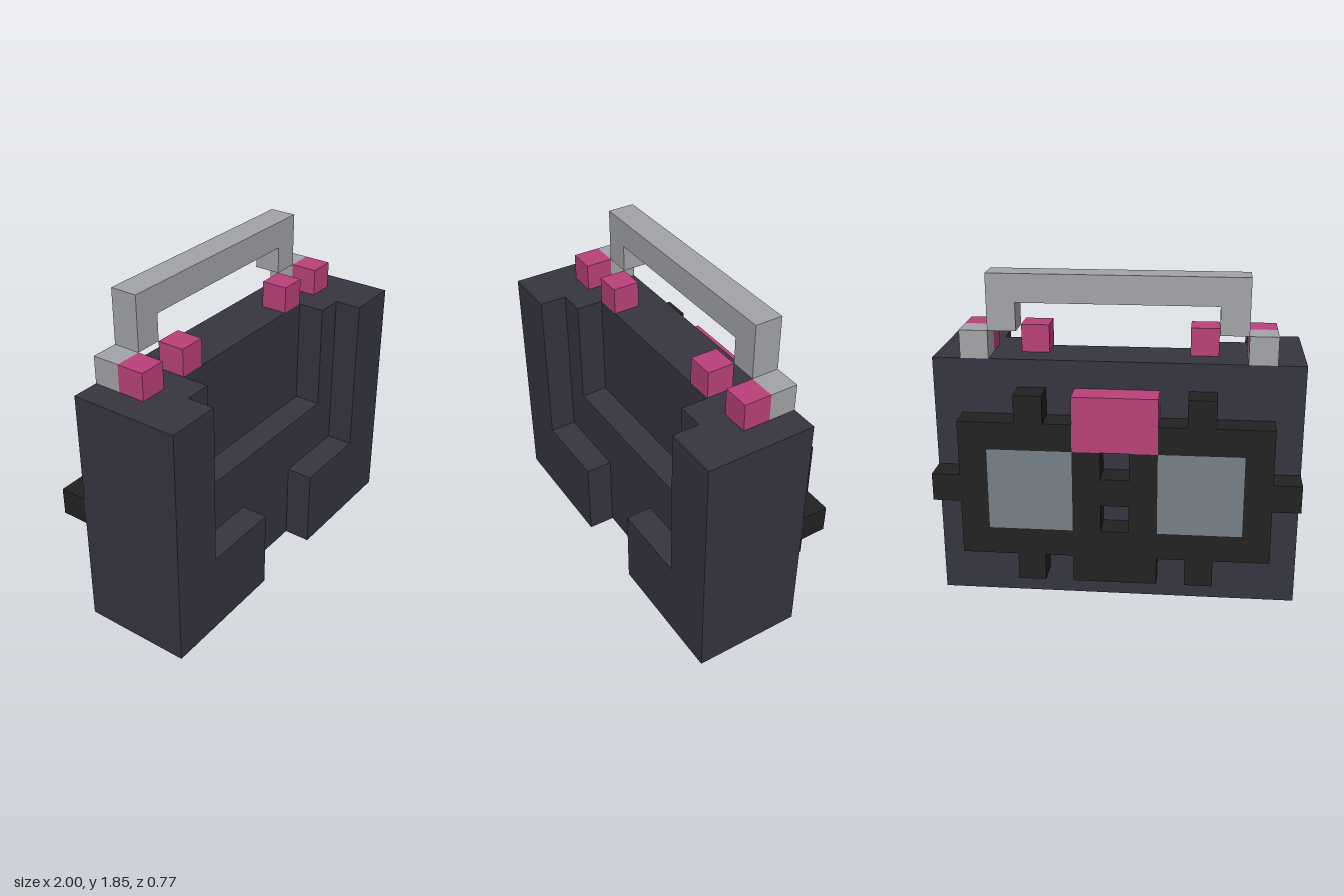
import * as THREE from 'three';

const U = 2 / 13; // one block

function material(name, color) {
  const m = new THREE.MeshStandardMaterial({ color });
  m.name = name;
  return m;
}

export function createModel() {
  const shell = material('dark slate', 0x363541);
  const metal = material('silver grey', 0xa4a5aa);
  const pink = material('magenta', 0xba417b);
  const black = material('black', 0x222222);
  const glass = material('blue grey', 0x768088);

  const model = new THREE.Group();
  model.name = 'caseModel';

  // Box between two corners, measured in blocks
  function box(name, mat, x0, x1, y0, y1, z0, z1) {
    const geo = new THREE.BoxGeometry((x1 - x0) * U, (y1 - y0) * U, (z1 - z0) * U);
    const mesh = new THREE.Mesh(geo, mat);
    mesh.position.set((x0 + x1) / 2 * U, (y0 + y1) / 2 * U, (z0 + z1) / 2 * U);
    mesh.name = name;
    model.add(mesh);
  }

  // Same box on both sides of the model
  function pair(name, mat, x0, x1, ...rest) {
    box(name + 'Left', mat, x0, x1, ...rest);
    box(name + 'Right', mat, -x1, -x0, ...rest);
  }

  // Symmetric outline, given by its +x half, extruded along z
  function slab(name, mat, half, z0, z1) {
    const mirrored = half.map(([x, y]) => [-x, y]).reverse();
    const pts = [...half, ...mirrored].map(([x, y]) => new THREE.Vector2(x * U, y * U));
    const geo = new THREE.ExtrudeGeometry(new THREE.Shape(pts), { depth: (z1 - z0) * U, bevelEnabled: false });
    const mesh = new THREE.Mesh(geo, mat);
    mesh.position.z = z0 * U;
    mesh.name = name;
    model.add(mesh);
  }

  // Case: full back, stepped recess towards the front
  box('caseBack', shell, -6.5, 6.5, 0, 9, -1.5, 0.5);
  slab('caseMiddle', shell, [[6.5, 0], [6.5, 9], [3.5, 9], [3.5, 5]], 0.5, 1.5);
  pair('caseFront', shell, 4.5, 6.5, 0, 9, 1.5, 2.5);
  pair('caseFrontLower', shell, 1.5, 4.5, 0, 3, 1.5, 2.5);

  // Handle with its mounts, and the knobs on top
  slab('handle', metal, [[4.5, 12], [4.5, 10], [3.5, 10], [3.5, 11]], -1.5, -0.5);
  pair('handleMount', metal, 4.5, 5.5, 9, 10, -1.5, -0.5);
  pair('outerKnob', pink, 4.5, 5.5, 9, 10, -0.5, 0.5);
  pair('innerKnob', pink, 2.5, 3.5, 9, 10, -0.5, 0.5);

  // Two toothed frames on the back
  const back = [-2.5, -1.5];
  pair('frameOuterColumn', black, 4.5, 5.5, 2, 7, ...back);
  pair('frameInnerColumn', black, 0.5, 1.5, 3, 6, ...back);
  pair('frameTopBar', black, 1.5, 4.5, 6, 7, ...back);
  pair('frameBottomBar', black, 1.5, 4.5, 2, 3, ...back);
  pair('sideTooth', black, 5.5, 6.5, 4, 5, ...back);
  pair('topTooth', black, 2.5, 3.5, 7, 8, ...back);
  pair('bottomTooth', black, 2.5, 3.5, 1, 2, ...back);
  pair('window', glass, 1.5, 4.5, 3, 6, ...back);

  // Parts joining the frames
  box('frameLink', black, -0.5, 0.5, 4, 5, ...back);
  box('frameBase', black, -1.5, 1.5, 1, 3, ...back);
  box('clasp', pink, -1.5, 1.5, 6, 8, ...back);

  return model;
}
